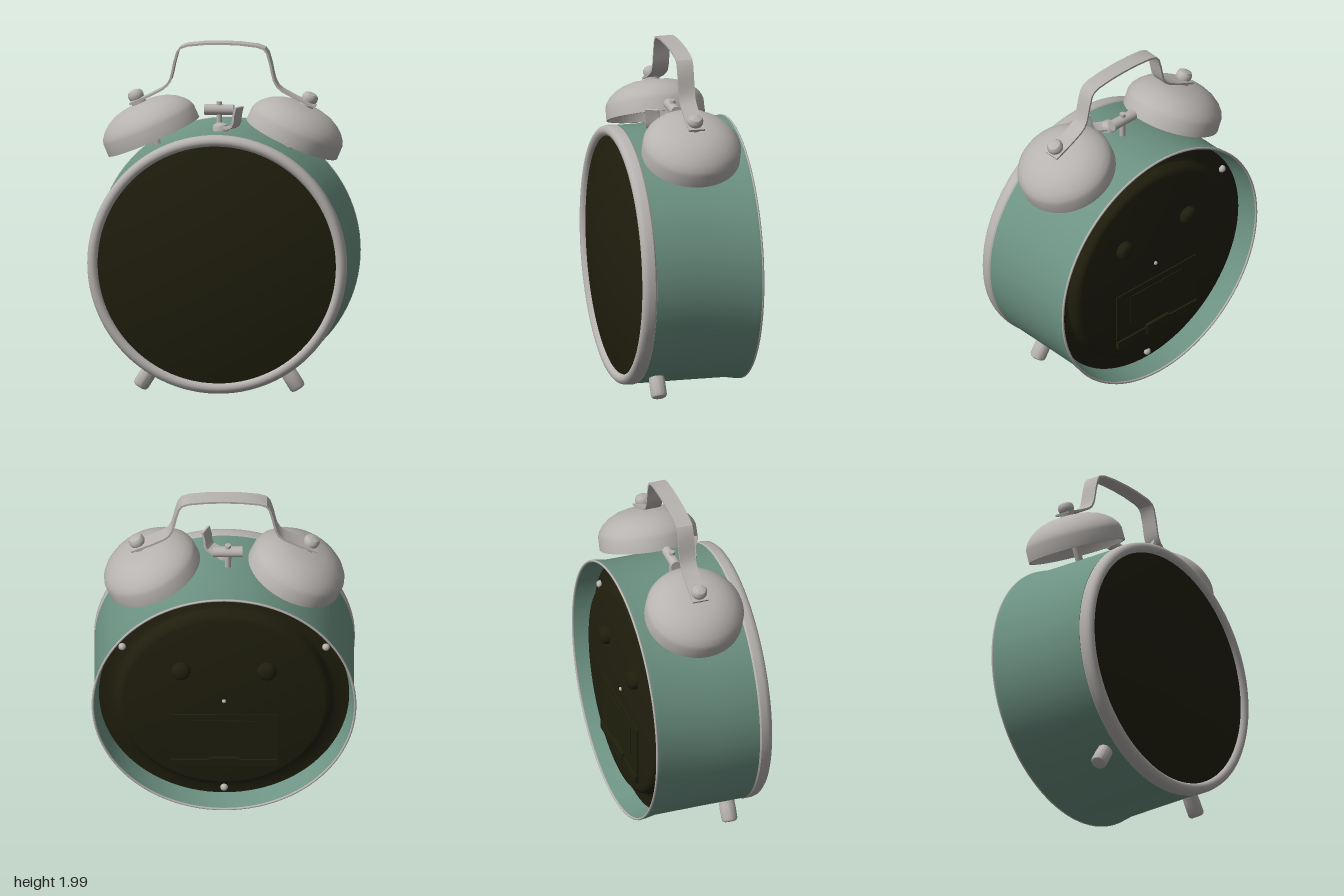
import * as THREE from 'three';
import { toCreasedNormals } from 'three/addons/utils/BufferGeometryUtils.js';

const CY = 0.765; // height of the case axis

export function createModel() {
  const model = new THREE.Group();
  model.name = 'alarmClock';

  const material = (name, color) => {
    const m = new THREE.MeshStandardMaterial({ color });
    m.name = name;
    return m;
  };
  const green = material('green enamel', 0x6d9384);
  const chrome = material('grey metal', 0xb7b3b0);
  const dark = material('dark olive', 0x201f0e);
  green.side = THREE.DoubleSide;

  const add = (parent, name, geometry, mat, x = 0, y = 0, z = 0) => {
    const mesh = new THREE.Mesh(geometry, mat);
    mesh.name = name;
    mesh.position.set(x, y, z);
    parent.add(mesh);
    return mesh;
  };
  // Turned part about y; outer profile runs upwards
  const lathe = (points, segments = 64) =>
    toCreasedNormals(new THREE.LatheGeometry(points.map(p => new THREE.Vector2(...p)), segments), 0.6);
  // Turned part about z
  const latheZ = (points, segments = 96) => lathe(points, segments).rotateX(Math.PI / 2);

  // Bent metal strip: a path in xy given thickness, extruded along z
  const strip = (path, thickness, width) => {
    const pts = path.map(p => new THREE.Vector2(...p));
    const side = sign => pts.map((p, i) => {
      const t = pts[Math.min(i + 1, pts.length - 1)].clone().sub(pts[Math.max(i - 1, 0)]).normalize();
      return new THREE.Vector2(p.x - t.y * sign * thickness / 2, p.y + t.x * sign * thickness / 2);
    });
    const shape = new THREE.Shape([...side(1), ...side(-1).reverse()]);
    const g = new THREE.ExtrudeGeometry(shape, { depth: width, bevelEnabled: false });
    return toCreasedNormals(g.translate(0, 0, -width / 2), 0.5);
  };

  // Case: drum with a flared, open back
  add(model, 'caseDrum', latheZ([
    [0.71, -0.25], [0.722, -0.29], [0.742, -0.37], [0.752, -0.37], [0.75, -0.34],
    [0.74, -0.285], [0.738, 0], [0.738, 0.25], [0.68, 0.25],
  ]), green, 0, CY, 0);
  add(model, 'backRim', new THREE.TorusGeometry(0.747, 0.007, 10, 96), chrome, 0, CY, -0.37);

  // Front ring and domed face
  add(model, 'frontRing', latheZ([
    [0.68, 0.25], [0.735, 0.25], [0.742, 0.26], [0.742, 0.295], [0.737, 0.315],
    [0.725, 0.327], [0.71, 0.331], [0.695, 0.327], [0.684, 0.315], [0.68, 0.295],
  ]), chrome, 0, CY, 0);
  const dome = [];
  for (let i = 0; i <= 14; i++) {
    const r = 0.685 * (1 - i / 14);
    dome.push([r, 0.38 - r * r / 6.1]);
  }
  add(model, 'faceDome', latheZ(dome), dark, 0, CY, 0);

  // Recessed back plate with a raised middle
  add(model, 'backPlate', latheZ([
    [0, -0.335], [0.57, -0.335], [0.59, -0.33], [0.605, -0.315], [0.62, -0.275],
    [0.64, -0.262], [0.715, -0.258],
  ]), dark, 0, CY, 0);
  for (const x of [-0.245, 0.245]) {
    add(model, 'backKnob', latheZ([
      [0, -0.382], [0.025, -0.38], [0.043, -0.373], [0.053, -0.36], [0.056, -0.33],
    ], 32), dark, x, 0.985, 0);
  }
  for (const deg of [30, 150, 270]) {
    const a = THREE.MathUtils.degToRad(deg);
    add(model, 'plateScrew', new THREE.SphereGeometry(0.022, 16, 10), chrome,
      0.67 * Math.cos(a), CY + 0.67 * Math.sin(a), -0.264);
  }
  add(model, 'centreScrew', new THREE.SphereGeometry(0.012, 12, 8), chrome, 0, 0.765, -0.336);

  // Battery door, its panel and the catch
  const box = (name, w, h, d, y, z) => add(model, name, new THREE.BoxGeometry(w, h, d), dark, 0, y, z);
  box('batteryDoor', 0.61, 0.35, 0.012, 0.495, -0.337);
  box('batteryDoorPanel', 0.4, 0.19, 0.01, 0.535, -0.343);
  box('batteryDoorLip', 0.61, 0.045, 0.02, 0.335, -0.345);
  box('batteryDoorCatch', 0.17, 0.06, 0.03, 0.345, -0.347);

  // Bells, nuts and feet, mirrored left and right
  for (const s of [-1, 1]) {
    const bell = new THREE.Group();
    bell.name = s > 0 ? 'leftBell' : 'rightBell';
    bell.position.set(s * 0.395, 1.448, -0.035);
    bell.rotation.z = -s * 0.415;
    model.add(bell);
    add(bell, 'bellShell', lathe([
      [0, 0.195], [0.1, 0.187], [0.18, 0.153], [0.24, 0.105], [0.262, 0.07], [0.269, 0],
      [0.282, 0], [0.281, 0.075], [0.272, 0.1], [0.25, 0.13], [0.215, 0.16],
      [0.17, 0.185], [0.12, 0.2], [0.06, 0.208], [0, 0.21],
    ]), chrome);
    add(bell, 'bellPost', new THREE.CylinderGeometry(0.022, 0.022, 0.33, 20), chrome, 0, 0.035, 0);
    add(bell, 'bellNut', lathe([
      [0, 0.2], [0.042, 0.2], [0.042, 0.222], [0.022, 0.224], [0.022, 0.235], [0.042, 0.238],
      [0.046, 0.25], [0.045, 0.268], [0.036, 0.282], [0.018, 0.289], [0, 0.29],
    ], 24), chrome);

    // Foot points straight out from the case axis
    const foot = new THREE.Group();
    foot.name = s > 0 ? 'leftFoot' : 'rightFoot';
    foot.position.set(0, CY, 0.165);
    foot.rotation.z = Math.PI + s * 0.56;
    model.add(foot);
    add(foot, 'footPeg', lathe([
      [0.042, 0.7], [0.046, 0.77], [0.046, 0.84], [0.04, 0.853], [0.028, 0.858], [0, 0.859],
    ], 28), chrome);
  }

  // Carrying handle
  const half = [[0.53, 1.636], [0.47, 1.663], [0.42, 1.685], [0.345, 1.725], [0.315, 1.75], [0.296, 1.785],
    [0.285, 1.83], [0.275, 1.88], [0.258, 1.94], [0.24, 1.965], [0.2, 1.98], [0.1, 1.991]];
  const path = [...half.map(([x, y]) => [-x, y]), [0, 1.994], ...half.slice().reverse()];
  add(model, 'handle', strip(path, 0.012, 0.095), chrome, 0, 0, -0.037);

  // Hammer between the bells
  add(model, 'hammerShaft', new THREE.CylinderGeometry(0.017, 0.017, 0.18, 16), chrome, -0.021, 1.565, -0.037);
  const head = new THREE.CylinderGeometry(0.031, 0.031, 0.168, 24).rotateZ(Math.PI / 2);
  add(model, 'hammerHead', head, chrome, -0.021, 1.608, -0.037);

  // Stop lever on top of the case
  const lever = new THREE.Group();
  lever.name = 'stopLever';
  lever.position.set(-0.003, 1.5, 0.06);
  lever.rotation.y = -0.48;
  model.add(lever);
  add(lever, 'leverPivot', lathe([
    [0.045, -0.02], [0.045, 0.025], [0.038, 0.038], [0.02, 0.046], [0, 0.048],
  ], 28), chrome);
  add(lever, 'leverBlade', strip([
    [0, 0.022], [0.07, 0.024], [0.095, 0.035], [0.108, 0.06], [0.112, 0.1], [0.125, 0.148],
  ], 0.014, 0.08), chrome);

  return model;
}
